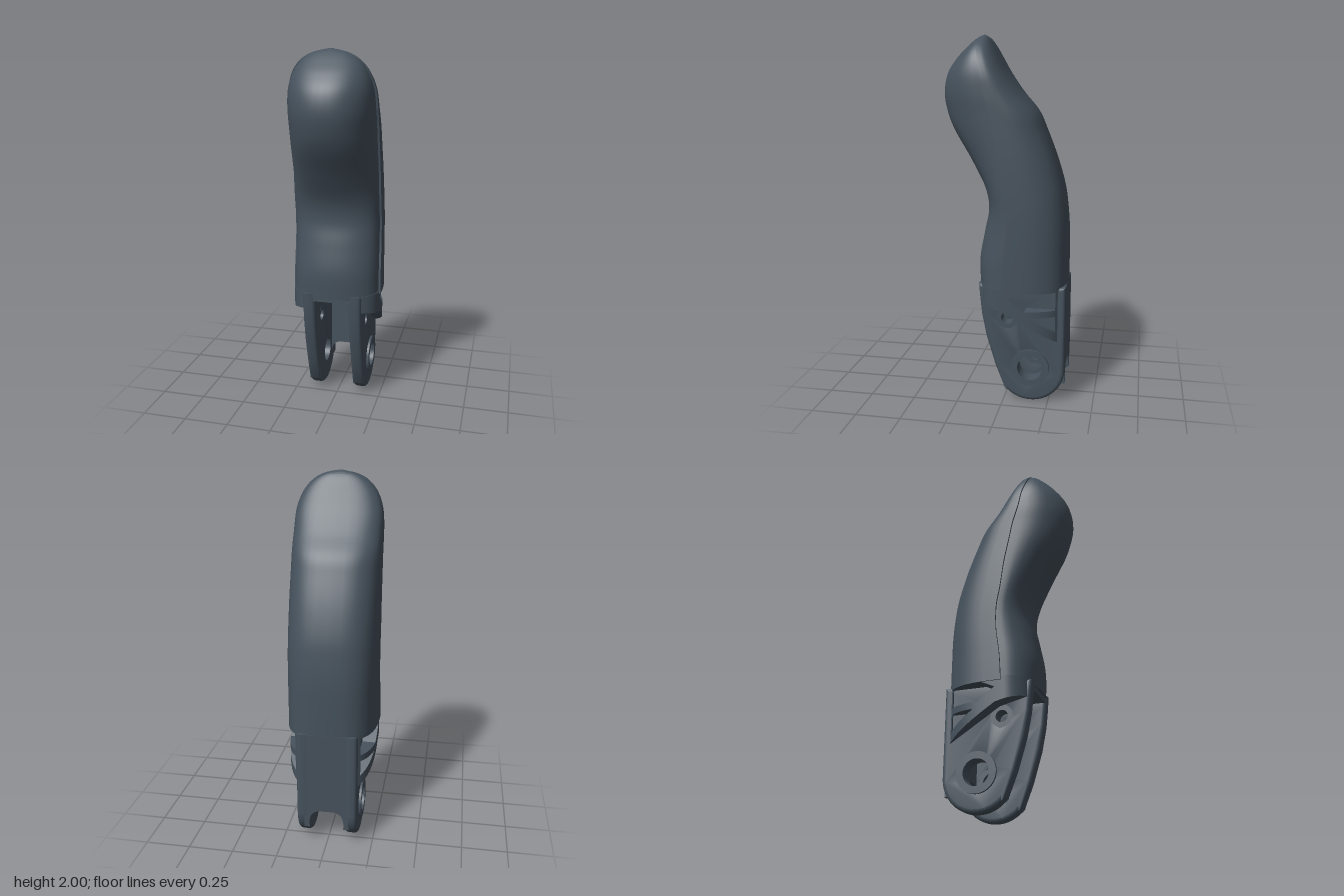
import * as THREE from 'three';
import { toCreasedNormals } from 'three/addons/utils/BufferGeometryUtils.js';

const material = new THREE.MeshStandardMaterial({ color: 0x46525d });

function add(group, name, geometry, crease = 0.6) {
  const mesh = new THREE.Mesh(toCreasedNormals(geometry, crease), material);
  mesh.name = name;
  group.add(mesh);
  return mesh;
}

// Profile of the bent finger: y, front z, back z, half width, seam z
const KEYS = [
  [0.65, 0.15, -0.34, 0.252, 0.0], [0.8, 0.152, -0.34, 0.25, -0.01],
  [0.95, 0.125, -0.338, 0.248, -0.03], [1.08, 0.1, -0.328, 0.247, -0.03],
  [1.2, 0.12, -0.31, 0.246, -0.01], [1.35, 0.2, -0.266, 0.244, 0.01],
  [1.5, 0.29, -0.207, 0.242, 0.04], [1.6, 0.33, -0.16, 0.241, 0.06],
  [1.7, 0.345, -0.075, 0.24, 0.09], [1.8, 0.325, -0.003, 0.232, 0.11],
  [1.88, 0.272, 0.042, 0.205, 0.13], [1.94, 0.212, 0.074, 0.16, 0.14],
  [1.98, 0.165, 0.1, 0.097, 0.138], [2.0, 0.135, 0.125, 0.012, 0.13],
];

// Closed section: rounded pad in front, wider and squarer shell behind
function sectionRing(y, zFront, zBack, w, zSeam) {
  const ring = [], n = 20;
  const half = (from, to, zEnd, width, power) => {
    for (let i = 0; i <= n; i++) {
      const a = from + (to - from) * i / n, s = Math.sin(a), c = Math.cos(a);
      const bend = (v) => Math.sign(v) * Math.pow(Math.abs(v), 2 / power);
      ring.push([bend(s) * width, y, zSeam + Math.abs(bend(c)) * (zEnd - zSeam)]);
    }
  };
  half(-Math.PI / 2, Math.PI / 2, zFront, w * 0.955, 2.2);
  half(Math.PI / 2, Math.PI * 1.5, zBack, w, 3);
  return ring;
}

function fingerGeometry() {
  const curve = (f) => new THREE.CatmullRomCurve3(KEYS.map(f), false, 'catmullrom', 0.5);
  const sides = curve((k) => new THREE.Vector3(k[0], k[1], k[2]));
  const widths = curve((k) => new THREE.Vector3(k[0], k[3], k[4]));
  const rows = 72, pos = [], idx = [];
  let m = 0;
  for (let j = 0; j <= rows; j++) {
    const a = sides.getPoint(j / rows), b = widths.getPoint(j / rows);
    const ring = sectionRing(a.x, a.y, a.z, b.y, b.z);
    m = ring.length;
    ring.forEach((p) => pos.push(...p));
  }
  for (let j = 0; j < rows; j++) {
    for (let i = 0; i < m; i++) {
      const a = j * m + i, b = j * m + (i + 1) % m;
      idx.push(a, b, b + m, a, b + m, a + m);
    }
  }
  // end caps
  const base = pos.length / 3, last = rows * m;
  pos.push(0, KEYS[0][0], -0.1, 0, 2, 0.13);
  for (let i = 0; i < m; i++) {
    const k = (i + 1) % m;
    idx.push(base, k, i, base + 1, last + i, last + k);
  }
  const g = new THREE.BufferGeometry();
  g.setAttribute('position', new THREE.Float32BufferAttribute(pos, 3));
  g.setIndex(idx);
  return g;
}

// Half width of the lower shell at depth z
function shellWidth(z) {
  const u = z < 0 ? -z / 0.34 : z / 0.15;
  return Math.max(0.13, 0.245 * Math.pow(Math.max(0, 1 - u ** (z < 0 ? 3 : 2.2)), z < 0 ? 1 / 3 : 0.45));
}

// Rib from depth z0 back to z1, with [bottom, top] heights at each end
function ribGeometry(z0, z1, start, end) {
  const g = new THREE.BoxGeometry(1, 1, 1, 1, 1, 14);
  const p = g.attributes.position;
  for (let i = 0; i < p.count; i++) {
    const t = 0.5 - p.getZ(i), z = z0 + (z1 - z0) * t, k = p.getY(i) > 0 ? 1 : 0;
    p.setXYZ(i, p.getX(i) > 0 ? shellWidth(z) : 0.11, start[k] + (end[k] - start[k]) * t, z);
  }
  return g;
}

// Side-view shape (horizontal axis is -z) extruded along x and centred on x = 0
function sideExtrude(shape, depth, bevel = 0) {
  const g = new THREE.ExtrudeGeometry(shape, {
    depth: depth - 2 * bevel, curveSegments: 24, bevelEnabled: bevel > 0,
    bevelThickness: bevel, bevelSize: bevel, bevelOffset: -bevel, bevelSegments: 3,
  });
  return g.translate(0, 0, bevel - depth / 2).rotateY(Math.PI / 2);
}

function circle(u, y, r, Type = THREE.Path) {
  const c = new Type();
  c.absarc(u, y, r, 0, Math.PI * 2, false);
  return c;
}

function ringGeometry(u, y, inner, outer, depth) {
  const shape = circle(u, y, outer, THREE.Shape);
  shape.holes.push(circle(u, y, inner));
  return sideExtrude(shape, depth);
}

export function createModel() {
  const group = new THREE.Group();
  add(group, 'fingerBody', fingerGeometry());

  // clevis prongs with pivot and pin holes
  const prong = new THREE.Shape();
  prong.moveTo(-0.14, 0.67);
  [[-0.135, 0.6], [-0.125, 0.5], [-0.1, 0.37], [-0.05, 0.2], [0, 0.075]].forEach((q) => prong.lineTo(...q));
  prong.absarc(0.15, 0.19, 0.19, -2.5, 0, false);
  prong.lineTo(0.34, 0.67);
  prong.holes.push(circle(0.15, 0.2, 0.072), circle(0.02, 0.482, 0.035));

  const ribs = [
    ['frontRib', 0.13, -0.03, [0.575, 0.67], [0.535, 0.67]],
    ['diagonalRib', -0.03, -0.325, [0.535, 0.59], [0.345, 0.4]],
    ['ribRoot', -0.03, -0.13, [0.54, 0.62], [0.48, 0.545]],
    ['middleRib', -0.1, -0.315, [0.512, 0.548], [0.512, 0.548]],
    ['rearRib', -0.288, -0.325, [0.37, 0.67], [0.345, 0.67]],
    ['upperRib', -0.03, -0.11, [0.615, 0.67], [0.652, 0.67]],
  ];
  for (const side of [1, -1]) {
    add(group, 'prong', sideExtrude(prong, 0.072, 0.02)).position.x = side * 0.131;
    add(group, 'pivotBoss', ringGeometry(0.15, 0.2, 0.07, 0.107, 0.085)).position.x = side * 0.1375;
    add(group, 'pinBushing', ringGeometry(0.02, 0.482, 0.033, 0.06, 0.0722)).position.x = side * 0.131;
    for (const [name, ...args] of ribs) add(group, name, ribGeometry(...args)).scale.x = side;
  }

  // rear wall of the channel, arched at the bottom
  const wall = new THREE.Shape();
  wall.moveTo(-0.125, 0.1);
  wall.lineTo(-0.095, 0.1);
  wall.lineTo(-0.095, 0.14);
  wall.quadraticCurveTo(-0.09, 0.205, -0.03, 0.205);
  wall.lineTo(0.03, 0.205);
  wall.quadraticCurveTo(0.09, 0.205, 0.095, 0.14);
  wall.lineTo(0.095, 0.1);
  wall.lineTo(0.125, 0.1);
  wall.lineTo(0.125, 0.67);
  wall.lineTo(-0.125, 0.67);
  const wallGeometry = new THREE.ExtrudeGeometry(wall, { depth: 0.085, bevelEnabled: false });
  add(group, 'channelWall', wallGeometry.translate(0, 0, -0.339));

  // closed top of the channel
  add(group, 'channelTop', new THREE.BoxGeometry(0.22, 0.045, 0.43).translate(0, 0.6475, -0.08));
  return group;
}
